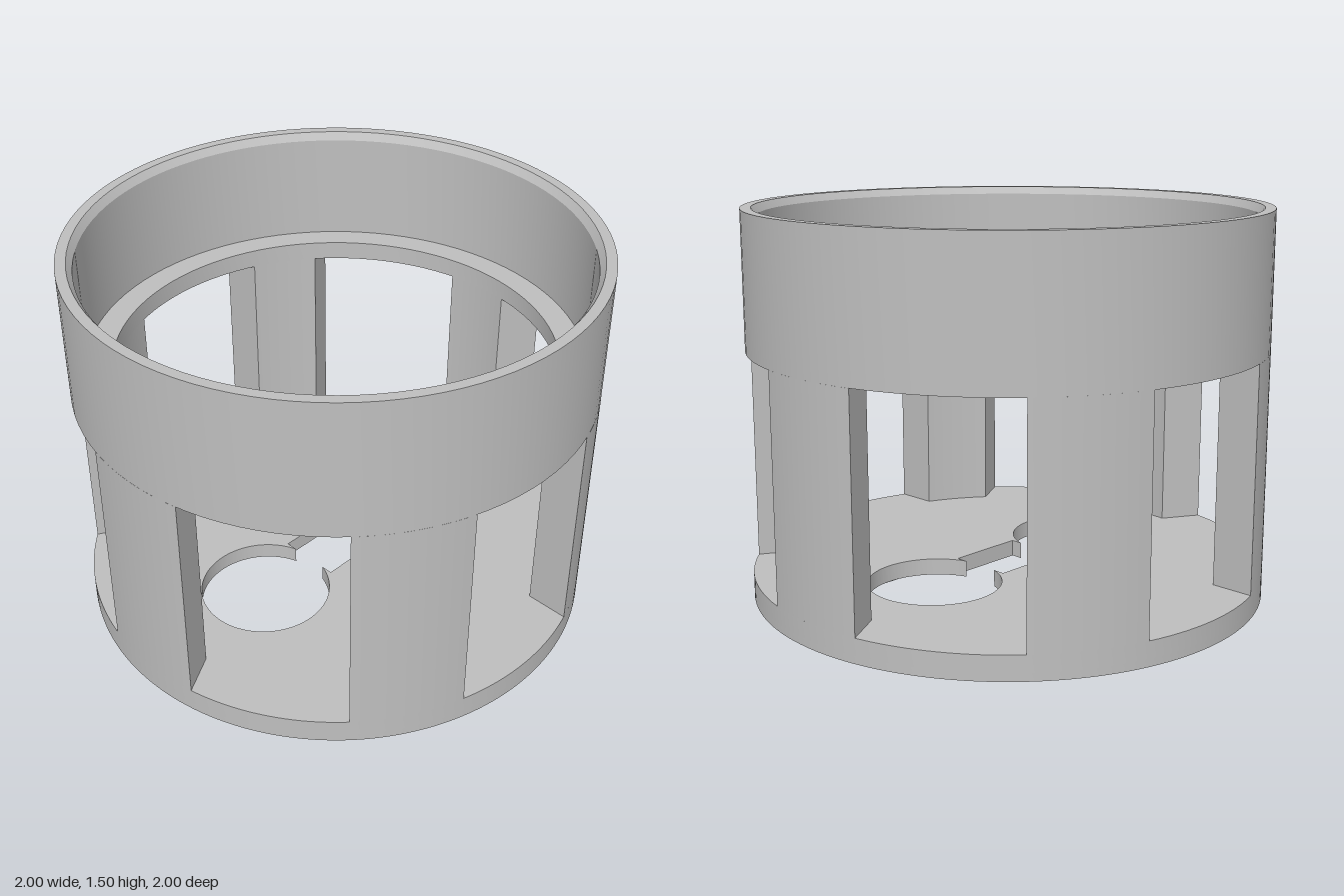
import * as THREE from 'three';
import { toCreasedNormals } from 'three/addons/utils/BufferGeometryUtils.js';

const OUTER = 1, INNER = 0.84;            // wall radii
const FLOOR_Y = 0.095, WINDOW_TOP = 0.965, TOP = 1.495;
const HALF_WINDOW = 0.3;

const grey = new THREE.MeshStandardMaterial({ color: 0xbfbfbf });
grey.name = 'plain grey';

function part(name, geometry) {
  const mesh = new THREE.Mesh(toCreasedNormals(geometry, 0.5), grey);
  mesh.name = name;
  return mesh;
}

// Extrude a plan outline upwards from y0 to y1
function slab(shape, y0, y1, curveSegments) {
  const g = new THREE.ExtrudeGeometry(shape, { depth: y1 - y0, bevelEnabled: false, curveSegments });
  return g.rotateX(-Math.PI / 2).translate(0, y0, 0);
}

function disc(hole) {
  const s = new THREE.Shape().absarc(0, 0, OUTER, 0, Math.PI * 2, false);
  s.holes.push(hole);
  return s;
}

// Two round holes joined by a rectangular slot
function keyholePath() {
  const cx = 0.4, r = 0.255, sx = 0.157, sz = 0.125;
  const a = Math.acos((cx - sx) / r);
  const p = new THREE.Path();
  p.moveTo(-sx, sz);
  p.lineTo(sx, sz);
  p.absarc(cx, 0, r, Math.PI - a, a - Math.PI, true);
  p.lineTo(sx, -sz);
  p.lineTo(-sx, -sz);
  p.absarc(-cx, 0, r, -a, a, true);
  p.lineTo(-sx, sz);
  return p;
}

// Shallow rectangular recess under the floor
function recessPath() {
  const x = 0.71, z = 0.315;
  return new THREE.Path([[-x, -z], [-x, z], [x, z], [x, -z]].map(([u, v]) => new THREE.Vector2(u, v)));
}

// Pillar section whose sides are parallel to the neighbouring windows
function pillarShape() {
  const ao = Math.PI / 6 - Math.asin(HALF_WINDOW / OUTER);
  const ai = Math.PI / 6 - Math.asin(HALF_WINDOW / INNER);
  const s = new THREE.Shape();
  s.absarc(0, 0, OUTER, -ao, ao, false);
  s.absarc(0, 0, INNER, ai, -ai, true);
  s.closePath();
  return s;
}

export function createModel() {
  const model = new THREE.Group();
  model.name = 'windowedHousing';

  // Floor in two layers: recess below, keyhole above
  model.add(part('floorRecessLayer', slab(disc(recessPath()), 0, 0.03, 96)));
  model.add(part('floorPlate', slab(disc(keyholePath()), 0.03, FLOOR_Y, 96)));

  // Six pillars between the windows
  const pillars = new THREE.Group();
  pillars.name = 'pillars';
  for (let i = 0; i < 6; i++) {
    const pillar = part('pillar', slab(pillarShape(), FLOOR_Y, WINDOW_TOP, 10));
    pillar.rotation.y = i * Math.PI / 3;
    pillars.add(pillar);
  }
  model.add(pillars);

  // Upper ring with inner ledge and chamfered mouth
  const profile = [
    [INNER, WINDOW_TOP], [OUTER, WINDOW_TOP], [OUTER, TOP], [0.96, TOP],
    [0.94, TOP - 0.03], [0.94, 1.04], [INNER, 1.04], [INNER, WINDOW_TOP],
  ].map(([r, y]) => new THREE.Vector2(r, y));
  model.add(part('upperRing', new THREE.LatheGeometry(profile, 96)));

  return model;
}
